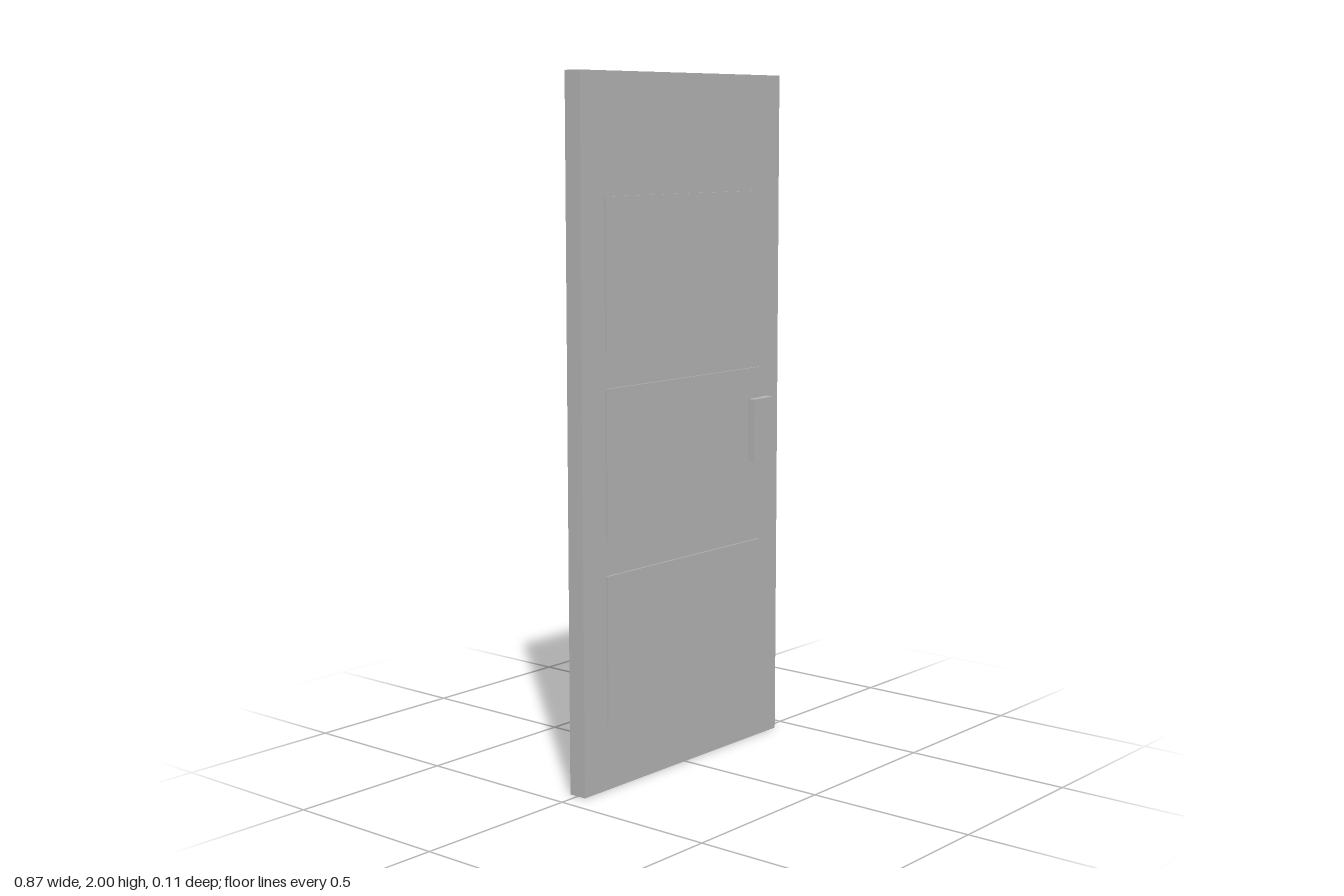
import * as THREE from 'three';

export function createModel() {
  const door = new THREE.Group();
  door.name = 'door';
  const grey = new THREE.MeshStandardMaterial({ color: 0xb3b3b3 });
  grey.name = 'plain grey';

  const addBox = (name, width, height, depth, x, y, z) => {
    const mesh = new THREE.Mesh(new THREE.BoxGeometry(width, height, depth), grey);
    mesh.name = name;
    mesh.position.set(x, y, z);
    door.add(mesh);
  };

  const slabHalf = 0.0275;
  const panelRise = 0.006;
  const handleRise = 0.029;

  // Door leaf
  addBox('slab', 0.873, 2, slabHalf * 2, 0, 1, 0);

  // Raised panels and a handle on both faces
  for (const side of [1, -1]) {
    const label = side > 0 ? 'front' : 'back';
    ['Lower', 'Middle', 'Upper'].forEach((level, i) => {
      addBox(`${label}${level}Panel`, 0.686, 0.424, panelRise,
        0, 0.404 + i * 0.524, side * (slabHalf + panelRise / 2));
    });
    addBox(`${label}Handle`, 0.094, 0.188, handleRise,
      0.333, 0.954, side * (slabHalf + handleRise / 2));
  }
  return door;
}
